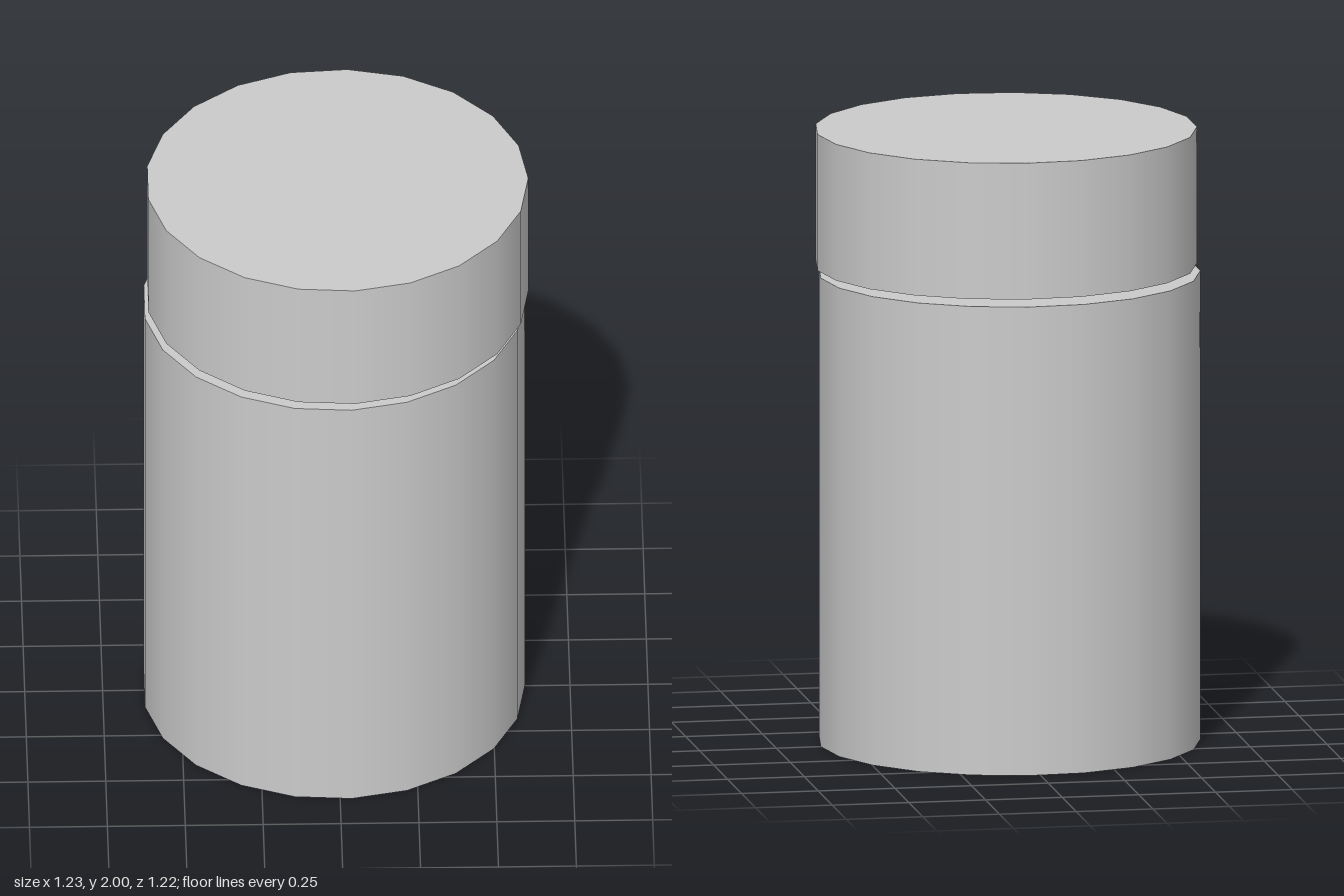
import * as THREE from 'three';

const RADIUS = 0.614;
const SIDES = 21;

export function createModel() {
  const model = new THREE.Group();
  model.name = 'canister';
  const material = new THREE.MeshStandardMaterial({ color: 0xcccccc });

  // Closed, smooth-sided drum with one corner pointing to +x
  const addDrum = (name, bottom, top, x) => {
    const geometry = new THREE.CylinderGeometry(
      RADIUS, RADIUS, top - bottom, SIDES, 1, false, Math.PI / 2);
    const mesh = new THREE.Mesh(geometry, material);
    mesh.name = name;
    mesh.position.set(x, (bottom + top) / 2, 0);
    model.add(mesh);
  };

  // Body, and a lid floating just above it, slightly off to the side
  addDrum('body', 0, 1.53, -0.009);
  addDrum('lid', 1.555, 2, 0.002);

  return model;
}
